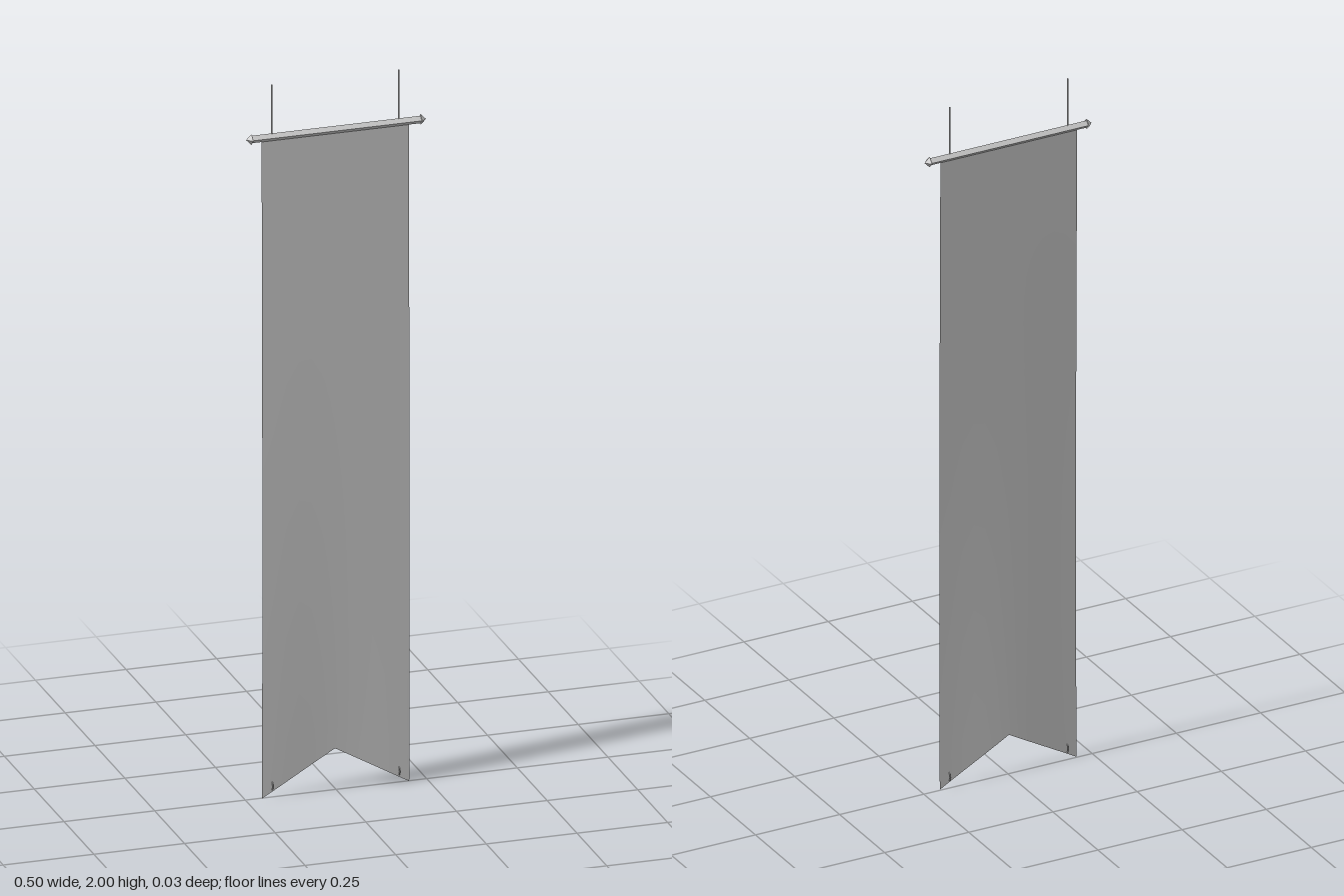
import * as THREE from 'three';

export function createModel() {
  const group = new THREE.Group();
  const flat = new THREE.MeshStandardMaterial({ color: 0xcccccc, flatShading: true });
  const clothMat = new THREE.MeshStandardMaterial({ color: 0xcccccc, side: THREE.DoubleSide });
  const ROD_Y = 1.853, CX = -0.002, HALF = 0.203, NOTCH = 0.115;

  const add = (name, geometry, material, x, y, z = 0) => {
    const mesh = new THREE.Mesh(geometry, material);
    mesh.name = name;
    mesh.position.set(x, y, z);
    group.add(mesh);
    return mesh;
  };

  // Gentle billow that grows down the cloth and settles at the hem
  const billow = (x, y) => {
    const t = Math.max(0, 1 - y / ROD_Y);
    return 0.006 * Math.sin(Math.PI * t) * t ** 0.4
      - 0.003 * t * t * Math.cos((Math.PI * x) / HALF);
  };

  // Cloth with a swallowtail hem
  const cloth = new THREE.PlaneGeometry(2 * HALF, 1, 12, 24);
  const p = cloth.attributes.position;
  for (let i = 0; i < p.count; i++) {
    const x = p.getX(i);
    const hem = NOTCH * (1 - Math.abs(x) / HALF);
    const y = THREE.MathUtils.lerp(hem, ROD_Y, p.getY(i) + 0.5);
    p.setXYZ(i, x, y, billow(x, y));
  }
  cloth.computeVertexNormals();
  add('bannerCloth', cloth, clothMat, CX, 0);

  // Square rod set on its edge
  const rod = new THREE.CylinderGeometry(0.0105, 0.0105, 0.47, 4).rotateZ(Math.PI / 2);
  add('rod', rod, flat, 0, ROD_Y);

  for (const side of [-1, 1]) {
    const label = side > 0 ? 'left' : 'right';
    // Pointed rod end
    const tip = new THREE.ConeGeometry(0.0155, 0.015, 4).rotateZ(-side * Math.PI / 2);
    add(label + 'Finial', tip, flat, side * 0.2405, ROD_Y);

    // Hanging cord
    const x = CX + side * 0.175;
    const cord = new THREE.CylinderGeometry(0.002, 0.002, 2 - ROD_Y, 4);
    add(label + 'Cord', cord, flat, x, (2 + ROD_Y) / 2);

    // Small ring through the lower corner
    const ring = new THREE.TorusGeometry(0.006, 0.0015, 4, 8).rotateY(Math.PI / 2).scale(1, 1.8, 1);
    add(label + 'HemRing', ring, flat, x, 0.032, billow(side * 0.175, 0.032));
  }
  return group;
}
